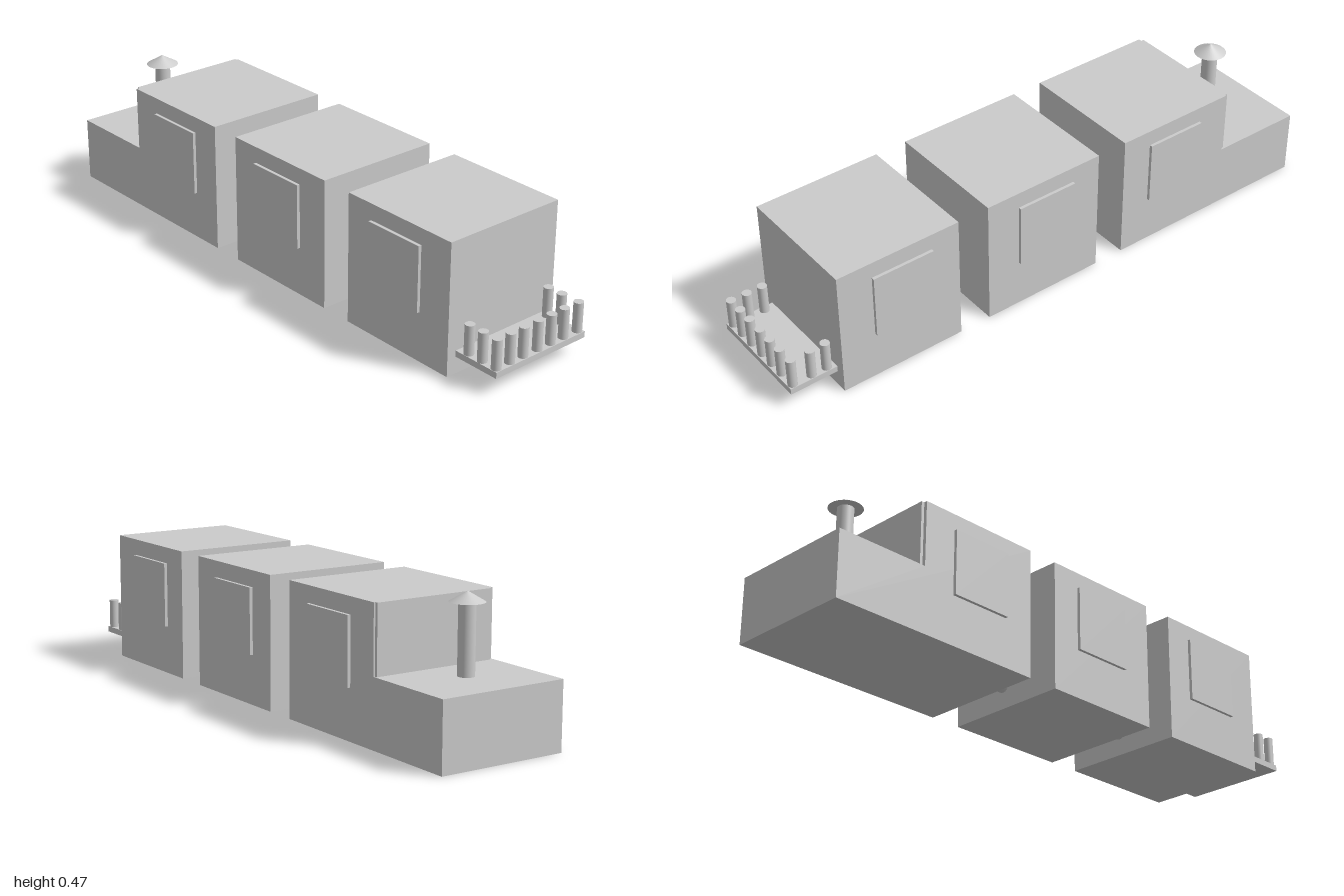
import * as THREE from 'three';

const material = new THREE.MeshStandardMaterial({ color: 0xcccccc });
const SIZE = 0.433; // edge of each carriage cube

export function createModel() {
  const train = new THREE.Group();
  train.name = 'train';

  const add = (name, geometry, x, y, z) => {
    const mesh = new THREE.Mesh(geometry, material);
    mesh.name = name;
    mesh.position.set(x, y, z);
    train.add(mesh);
    return mesh;
  };
  const box = (name, w, h, d, x, y, z) => add(name, new THREE.BoxGeometry(w, h, d), x, y, z);
  const rod = (name, r, h, x, y, z) => add(name, new THREE.CylinderGeometry(r, r, h, 32), x, y, z);

  // Engine: L-shaped side profile with a low bonnet and a tall cab
  const profile = new THREE.Shape([
    [-1, 0], [-0.247, 0], [-0.247, SIZE], [-0.68, SIZE], [-0.68, 0.217], [-1, 0.217],
  ].map(([x, y]) => new THREE.Vector2(x, y)));
  const engine = new THREE.ExtrudeGeometry(profile, { depth: SIZE, bevelEnabled: false });
  add('engine', engine, 0, 0, 0.001 - SIZE / 2);
  box('windscreen', 0.01, 0.216, 0.416, -0.685, 0.325, -0.002);

  // Chimney with a conical cap
  rod('chimney', 0.026, 0.22, -0.818, 0.325, 0.011);
  add('chimneyCap', new THREE.ConeGeometry(0.054, 0.032, 32), -0.818, 0.449, 0.011);

  // Carriages
  for (const x of [0.077, 0.62]) box('carriage', SIZE, SIZE, SIZE, x, SIZE / 2, 0.001);

  // Raised windows on both sides
  for (const x of [-0.46, 0.07, 0.61]) {
    for (const side of [1, -1]) {
      box('window', 0.214, 0.216, 0.014, x, 0.271, 0.001 + side * 0.22);
    }
  }

  // Couplings between the cars
  for (const x of [-0.193, 0.349]) {
    rod('coupling', 0.025, 0.12, x, 0.081, -0.009).rotation.z = Math.PI / 2;
  }

  // Rear platform with railing posts
  box('platform', 0.168, 0.02, 0.368, 0.916, 0.066, 0.001);
  const posts = [0.169, 0.115, 0.061, 0.002, -0.053, -0.107, -0.167].map((z) => [0.983, z]);
  posts.push([0.874, 0.169], [0.928, 0.169], [0.864, -0.167], [0.917, -0.167]);
  for (const [x, z] of posts) rod('railingPost', 0.0155, 0.1, x, 0.124, z);

  return train;
}
